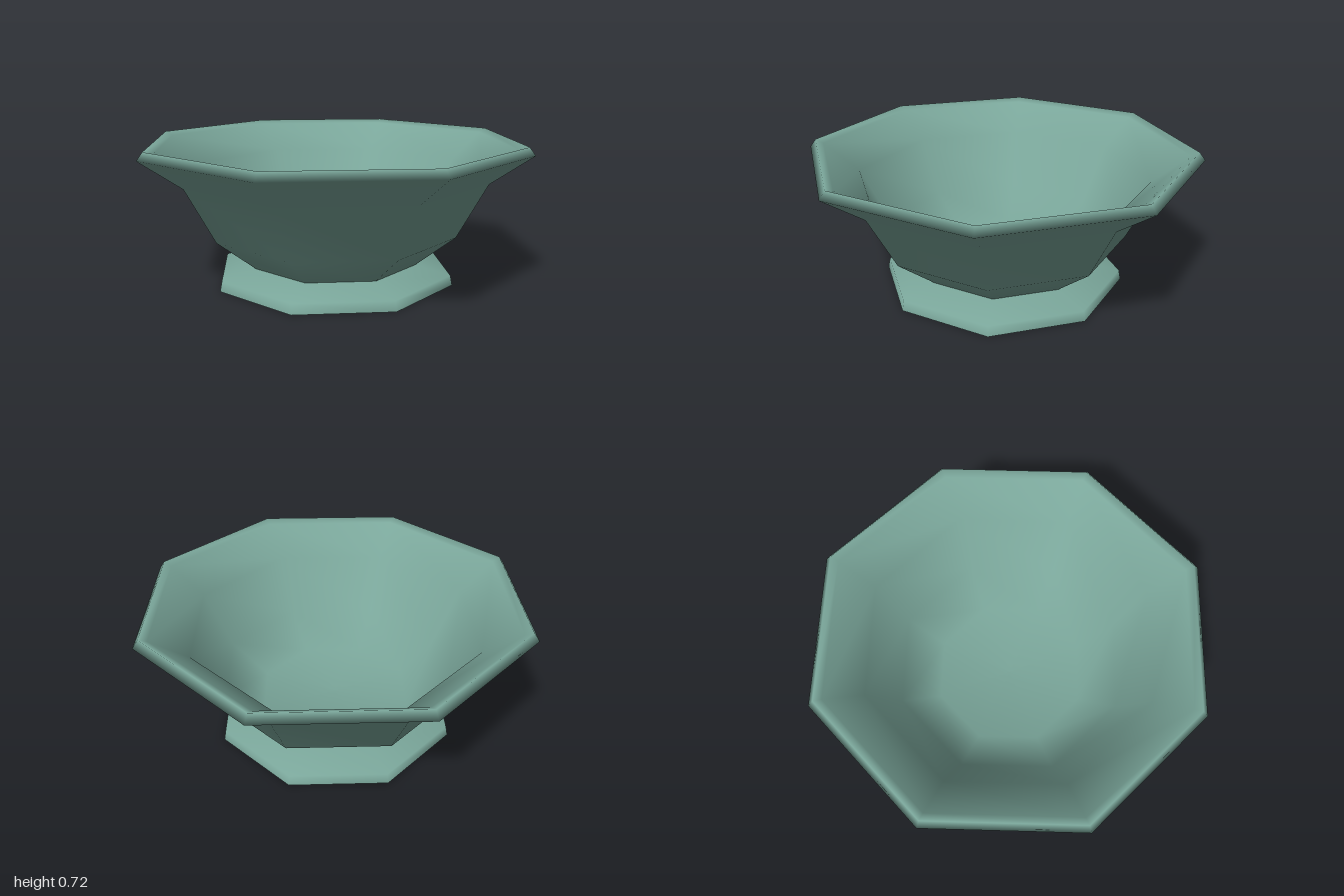
import * as THREE from 'three';

const SIDES = 8;

export function createModel() {
  const group = new THREE.Group();
  group.name = 'footedBowl';

  const glaze = new THREE.MeshStandardMaterial({ color: 0x7aa69a });
  glaze.name = 'sage green glaze';

  // Turns a [radius, height] profile into an eight-sided part
  const turn = (name, profile) => {
    const points = profile.map(([r, y]) => new THREE.Vector2(r, y));
    const mesh = new THREE.Mesh(new THREE.LatheGeometry(points, SIDES), glaze);
    mesh.name = name;
    group.add(mesh);
  };

  // Flat underside, kept apart so its edge stays sharp
  turn('footUnderside', [[0, 0], [0.63, 0]]);

  // Low flared foot
  turn('foot', [[0.63, 0], [0.62, 0.05], [0.44, 0.09]]);

  // Outer wall, rolled rim and hollow interior in one smooth skin
  turn('bowl', [
    [0.44, 0.09], [0.64, 0.25], [0.79, 0.53], [1.0, 0.68],
    [0.97, 0.72],
    [0.93, 0.7], [0.75, 0.56], [0.6, 0.28], [0.4, 0.13], [0, 0.12],
  ]);

  return group;
}
